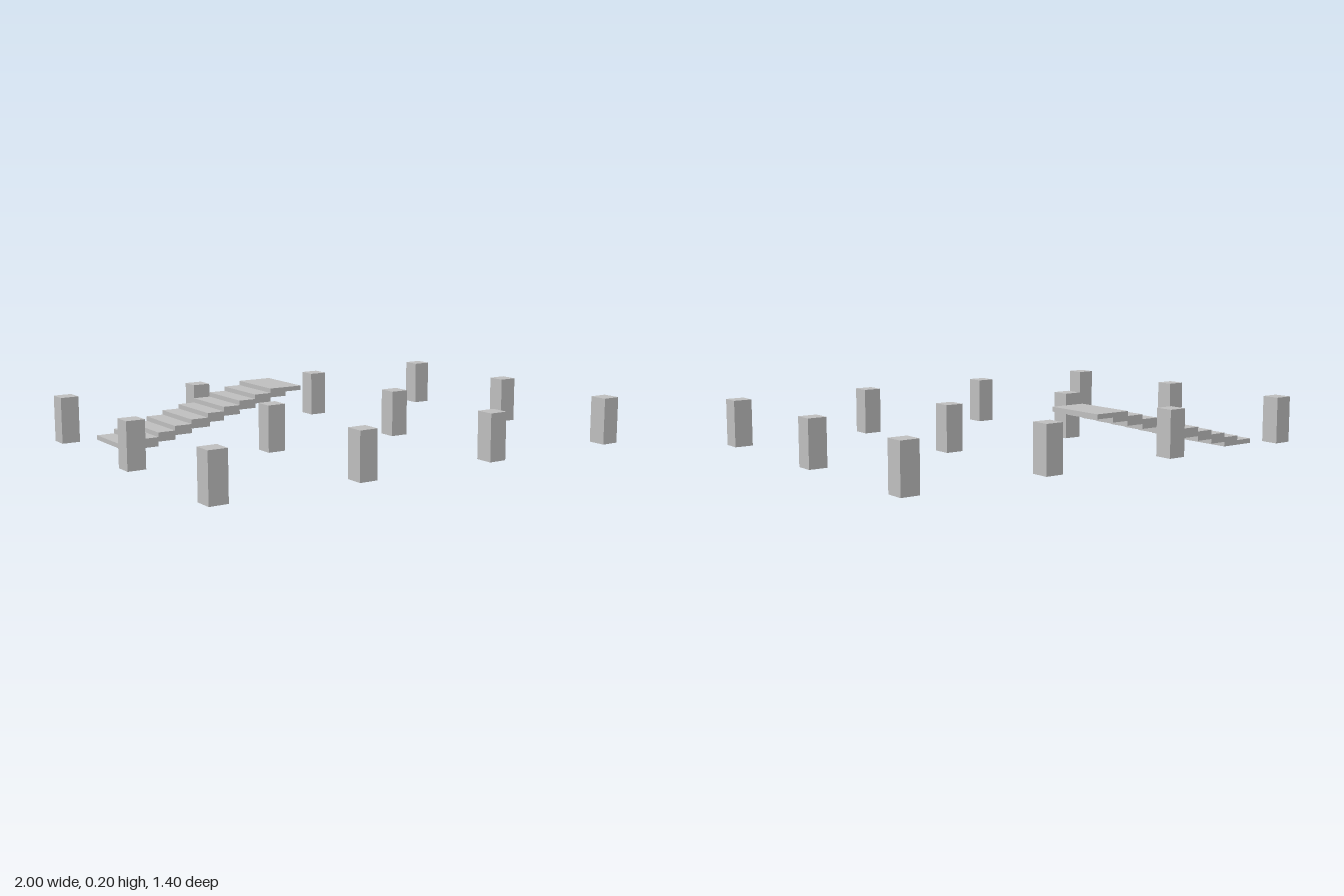
import * as THREE from 'three';

export function createModel() {
  const model = new THREE.Group();
  const concrete = new THREE.MeshStandardMaterial({ color: 0xc0c0c0 });
  concrete.name = 'concrete grey';

  const addBoxes = (groupName, partName, size, positions) => {
    const group = new THREE.Group();
    group.name = groupName;
    const geometry = new THREE.BoxGeometry(...size);
    positions.forEach((position, i) => {
      const mesh = new THREE.Mesh(geometry, concrete);
      mesh.name = partName + (i + 1);
      mesh.position.set(...position);
      group.add(mesh);
    });
    model.add(group);
  };

  // Grid of square columns, four across and three deep
  const columns = [];
  for (const z of [-0.66, 0, 0.66]) {
    for (const x of [-0.96, -0.32, 0.32, 0.96]) columns.push([x, 0.1, z]);
  }
  addBoxes('columns', 'column', [0.08, 0.2, 0.08], columns);

  // Straight flight of ten overlapping slab treads, rising towards +x
  const treads = [];
  for (let i = 0; i < 10; i++) treads.push([-0.76 + i * 0.08, 0.01 + i * 0.02, -0.48]);
  addBoxes('staircase', 'tread', [0.16, 0.02, 0.28], treads);

  return model;
}
